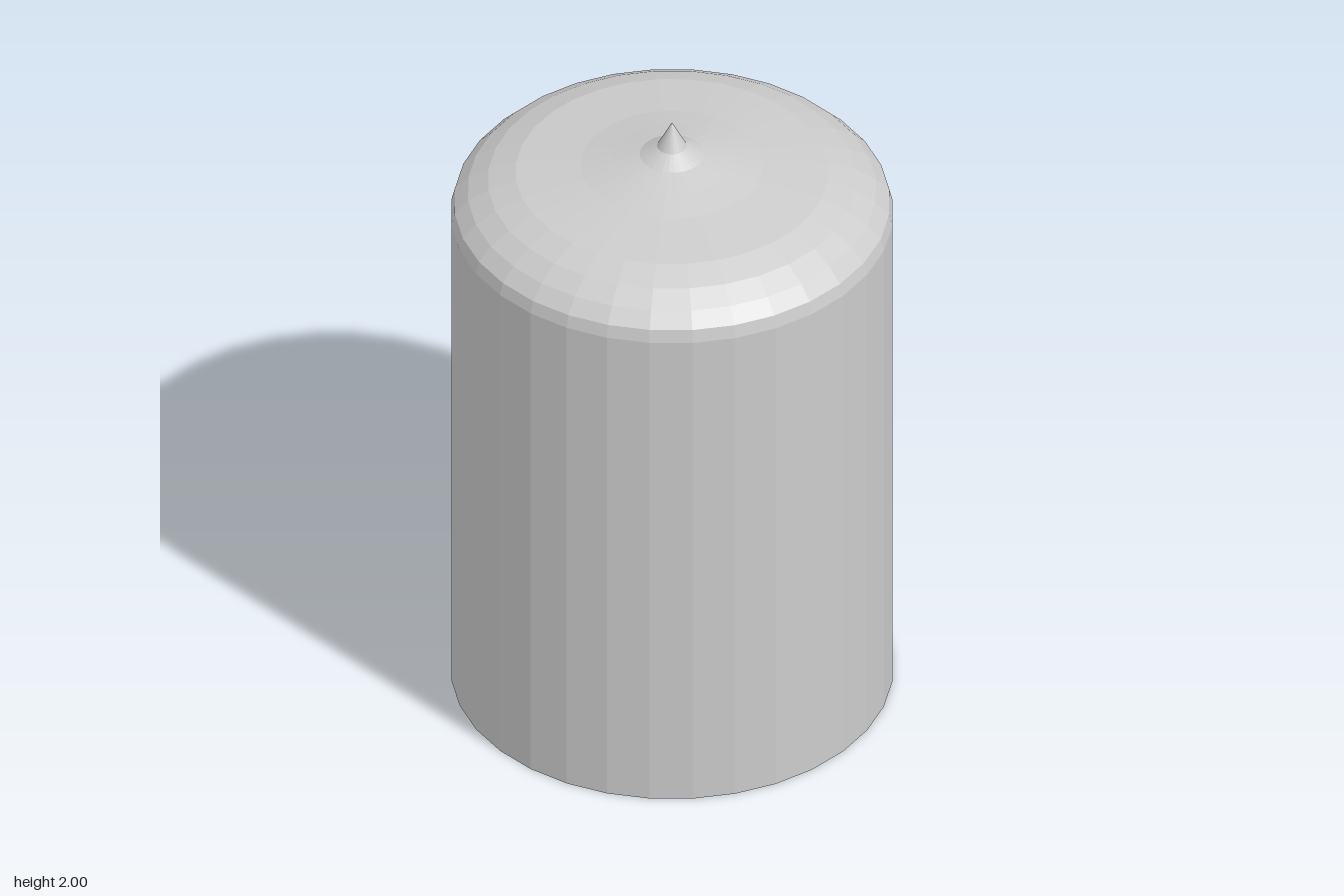
import * as THREE from 'three';

const SIDES = 32;

// Faceted surface of revolution from [radius, height] pairs, listed bottom to top
function turned(name, profile) {
  const points = profile.map(([r, y]) => new THREE.Vector2(r, y));
  const material = new THREE.MeshStandardMaterial({
    color: 0xcccccc, flatShading: true, side: THREE.DoubleSide,
  });
  const mesh = new THREE.Mesh(new THREE.LatheGeometry(points, SIDES), material);
  mesh.name = name;
  return mesh;
}

export function createModel() {
  const model = new THREE.Group();
  model.name = 'domedCanister';
  model.add(
    // Straight tube, open underneath
    turned('wall', [[0.655, 0], [0.655, 1.67]]),
    // Rounded edge between wall and lid
    turned('shoulder', [[0.655, 1.67], [0.645, 1.71], [0.605, 1.752], [0.545, 1.79], [0.463, 1.82]]),
    // Shallow concave lid
    turned('lid', [[0.463, 1.82], [0.27, 1.845], [0.175, 1.866], [0.095, 1.885]]),
    // Pointed tip
    turned('tip', [[0.095, 1.885], [0.044, 1.915], [0, 2]]),
  );
  return model;
}
